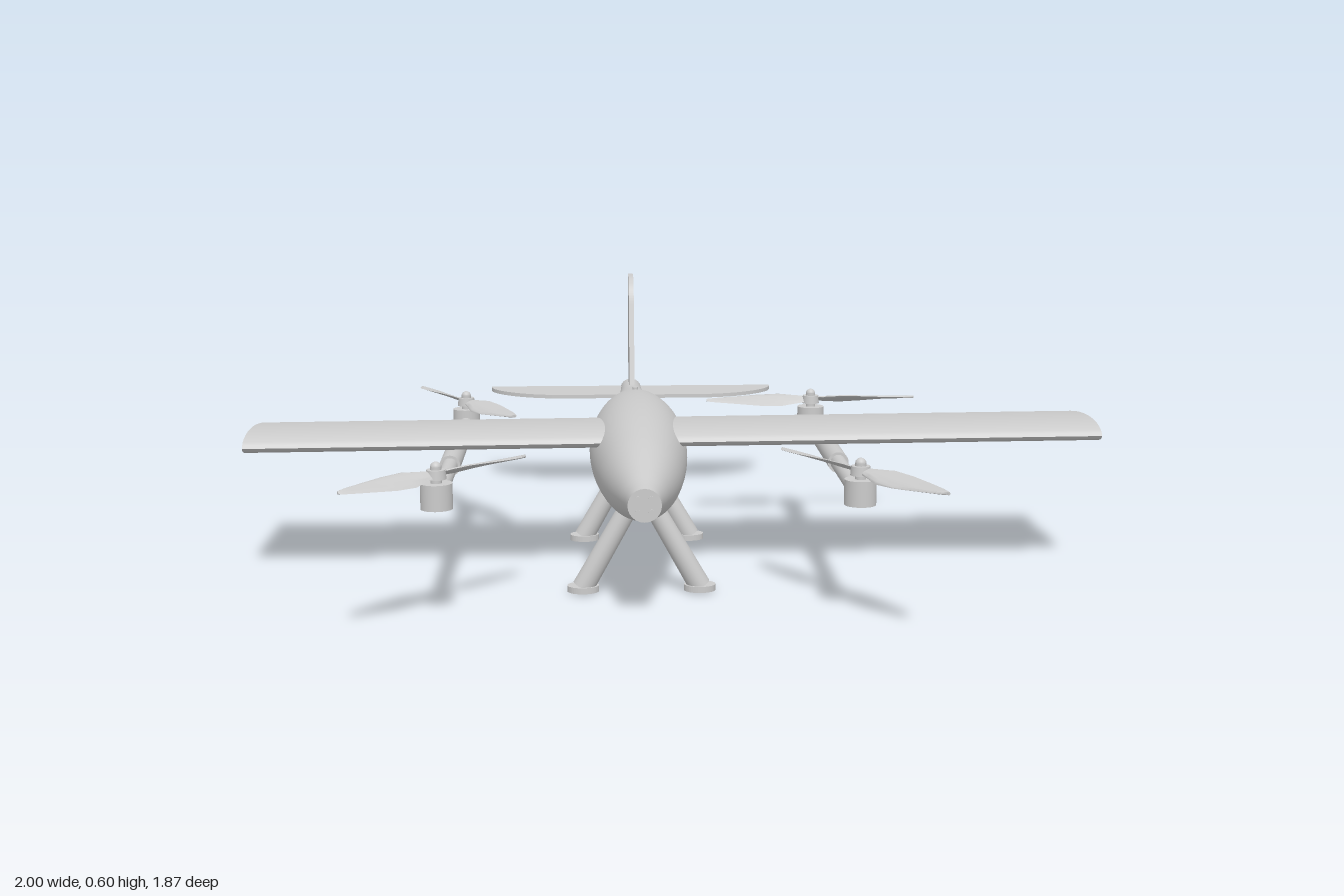
import * as THREE from 'three';
import { toCreasedNormals } from 'three/addons/utils/BufferGeometryUtils.js';

const mat = new THREE.MeshStandardMaterial({ color: 0xcccccc });
const AXIS_X = -0.1, AXIS_Y = 0.265;   // fuselage centreline

function add(parent, name, geo, x = 0, y = 0, z = 0) {
  const m = new THREE.Mesh(geo, mat);
  m.name = name;
  m.position.set(x, y, z);
  parent.add(m);
  return m;
}

// One airfoil ring at station x; leading edge at zl, trailing edge at zt
function foil(x, zl, zt, up, down, y0 = 0, twist = 0, n = 32) {
  const ring = [], c = Math.cos(twist), s = Math.sin(twist);
  for (let k = 0; k < n; k++) {
    const t = (2 * Math.PI * k) / n, f = (1 - Math.cos(t)) / 2;
    const h = 2.6 * Math.sqrt(f) * (1 - f) * (t < Math.PI ? up : -down);
    const z = zl + (zt - zl) * f;
    ring.push([x, y0 + h * c + z * s, z * c - h * s]);
  }
  return ring;
}

// Skin a list of rings running toward +x and cap both ends
function loft(rings) {
  const n = rings[0].length, pos = rings.flat(2), idx = [];
  const last = rings.length - 1;
  for (let i = 0; i < last; i++) for (let j = 0; j < n; j++) {
    const a = i * n + j, c = i * n + ((j + 1) % n);
    idx.push(a, a + n, c, c, a + n, c + n);
  }
  for (const e of [0, last]) {
    const centre = [0, 1, 2].map(k => rings[e].reduce((sum, p) => sum + p[k], 0) / n);
    const ci = pos.length / 3;
    pos.push(...centre);
    for (let j = 0; j < n; j++) {
      const a = e * n + j, b = e * n + ((j + 1) % n);
      idx.push(ci, ...(e ? [b, a] : [a, b]));
    }
  }
  const g = new THREE.BufferGeometry();
  g.setAttribute('position', new THREE.Float32BufferAttribute(pos, 3));
  g.setIndex(idx);
  return toCreasedNormals(g, 0.7);
}

// Cylinder between two points
function rod(parent, name, a, b, ra, rb) {
  const p = new THREE.Vector3(...a), q = new THREE.Vector3(...b);
  const d = q.clone().sub(p);
  const m = add(parent, name, new THREE.CylinderGeometry(rb, ra, d.length(), 24));
  m.position.copy(p).add(q).multiplyScalar(0.5);
  m.quaternion.setFromUnitVectors(new THREE.Vector3(0, 1, 0), d.normalize());
  return m;
}

function buildFuselage(g) {
  const shape = [[-0.9, 0.03], [-0.75, 0.036], [-0.6, 0.051], [-0.4, 0.079], [-0.25, 0.102],
    [-0.1, 0.117], [0.05, 0.121], [0.2, 0.114], [0.35, 0.097], [0.45, 0.079], [0.55, 0.055],
    [0.6, 0.043], [0.645, 0.036]];
  const curve = new THREE.SplineCurve(shape.map(([z, r]) => new THREE.Vector2(r, z)));
  const pts = curve.getPoints(60);
  const body = add(g, 'fuselage', new THREE.LatheGeometry(pts, 48), AXIS_X, AXIS_Y, 0);
  body.rotation.x = Math.PI / 2;
  body.scale.x = 0.96;
  // End plates, with four sockets on the nose
  rod(g, 'nosePlate', [AXIS_X, AXIS_Y, 0.63], [AXIS_X, AXIS_Y, 0.648], 0.036, 0.036);
  rod(g, 'tailPlate', [AXIS_X, AXIS_Y, -0.902], [AXIS_X, AXIS_Y, -0.89], 0.03, 0.03);
  for (let i = 0; i < 4; i++) {
    const a = (i + 0.5) * Math.PI / 2;
    const x = AXIS_X + 0.02 * Math.cos(a), y = AXIS_Y + 0.02 * Math.sin(a);
    rod(g, 'noseSocket', [x, y, 0.64], [x, y, 0.651], 0.006, 0.006);
  }
  rod(g, 'topStud', [AXIS_X, 0.35, -0.27], [AXIS_X, 0.37, -0.27], 0.007, 0.007);
}

function buildTail(g) {
  // Tailplane: straight trailing edge, rounded leading corners
  const t = new THREE.Shape();
  t.moveTo(-0.4, 0.897);
  t.lineTo(0.4, 0.897);
  t.bezierCurveTo(0.41, 0.83, 0.31, 0.735, 0.19, 0.735);
  t.lineTo(-0.19, 0.735);
  t.bezierCurveTo(-0.31, 0.735, -0.41, 0.83, -0.4, 0.897);
  const opts = { depth: 0.01, bevelEnabled: false, curveSegments: 20 };
  const plane = add(g, 'tailplane', new THREE.ExtrudeGeometry(t, opts), AXIS_X, AXIS_Y, 0);
  plane.rotation.x = -Math.PI / 2;

  // Fin, drawn as (z, y) and turned into the centre plane
  const f = new THREE.Shape();
  f.moveTo(0.68, 0.27);
  f.lineTo(0.898, 0.27);
  f.lineTo(0.898, 0.6);
  f.lineTo(0.84, 0.6);
  f.bezierCurveTo(0.79, 0.598, 0.765, 0.585, 0.75, 0.53);
  f.lineTo(0.69, 0.31);
  const fin = add(g, 'fin', new THREE.ExtrudeGeometry(f, { ...opts, depth: 0.014 }), AXIS_X - 0.007, 0, 0);
  fin.rotation.y = Math.PI / 2;
}

function buildRotor(g, x, z, radius, angle, spin) {
  const rotor = new THREE.Group();
  rotor.name = 'rotor';
  rotor.position.set(x, 0, z);
  g.add(rotor);
  add(rotor, 'motor', new THREE.CylinderGeometry(0.034, 0.034, 0.055, 32), 0, 0.282, 0);
  add(rotor, 'motorShaft', new THREE.CylinderGeometry(0.012, 0.012, 0.04, 20), 0, 0.325, 0);
  add(rotor, 'hub', new THREE.CylinderGeometry(0.02, 0.022, 0.02, 24), 0, 0.328, 0);
  add(rotor, 'hubCap', new THREE.SphereGeometry(0.012, 20, 12), 0, 0.343, 0);

  // Blade stations: fraction of radius, leading z, trailing z, twist
  const stations = [[0.04, 0.011, -0.011, 0.5], [0.15, 0.016, -0.018, 0.5], [0.3, 0.026, -0.031, 0.42],
    [0.5, 0.026, -0.032, 0.34], [0.7, 0.021, -0.025, 0.26], [0.88, 0.014, -0.016, 0.2],
    [0.97, 0.007, -0.01, 0.17], [1, 0.001, -0.004, 0.16]];
  const geo = loft(stations.map(([f, a, b, tw]) => spin > 0
    ? foil(f * radius, a, b, 0.005, 0.002, 0, tw, 20)
    : foil(f * radius, -b, -a, 0.005, 0.002, 0, -tw, 20)));
  for (const turn of [0, Math.PI]) {
    add(rotor, 'blade', geo, 0, 0.328, 0).rotation.y = angle + turn;
  }
}

export function createModel() {
  const model = new THREE.Group();
  model.name = 'aircraft';
  const g = new THREE.Group();
  g.name = 'airframe';
  g.rotation.y = 0.22;
  model.add(g);

  buildFuselage(g);
  buildTail(g);

  // Straight one-piece wing
  const wing = add(g, 'wing', loft([-0.986, 0.986].map(x => foil(x, 0.244, -0.097, 0.027, 0.021))), -0.017, 0.322, 0);
  wing.rotation.z = 0.007;

  // Booms with sleeves under the wing
  for (const x of [-0.534, 0.356]) {
    rod(g, 'boom', [x, 0.273, -0.316], [x, 0.273, 0.607], 0.018, 0.018);
    rod(g, 'boomSleeve', [x, 0.273, -0.22], [x, 0.273, 0.25], 0.024, 0.024);
  }

  // Rotors: x, z, blade length, blade angle, spin
  const rotors = [[-0.534, 0.608, 0.255, 0.79, 1], [-0.534, -0.316, 0.27, -1.04, -1],
    [0.356, -0.316, 0.272, 0.056, 1], [0.356, 0.607, 0.28, -1.03, -1]];
  for (const r of rotors) buildRotor(g, ...r);

  // Splayed legs with padded feet
  for (const side of [-1, 1]) for (const z of [0.341, -0.153]) {
    const x = AXIS_X + side * 0.132;
    rod(g, 'leg', [x, 0.01, z], [AXIS_X + side * 0.03, 0.19, z], 0.025, 0.022);
    const s = new THREE.Shape();
    s.absellipse(0, 0, 0.036, 0.03, 0, Math.PI * 2);
    const pad = new THREE.ExtrudeGeometry(s, { depth: 0.014, bevelEnabled: false, curveSegments: 20 });
    add(g, 'foot', pad, x, 0, z).rotation.x = -Math.PI / 2;
  }
  return model;
}
